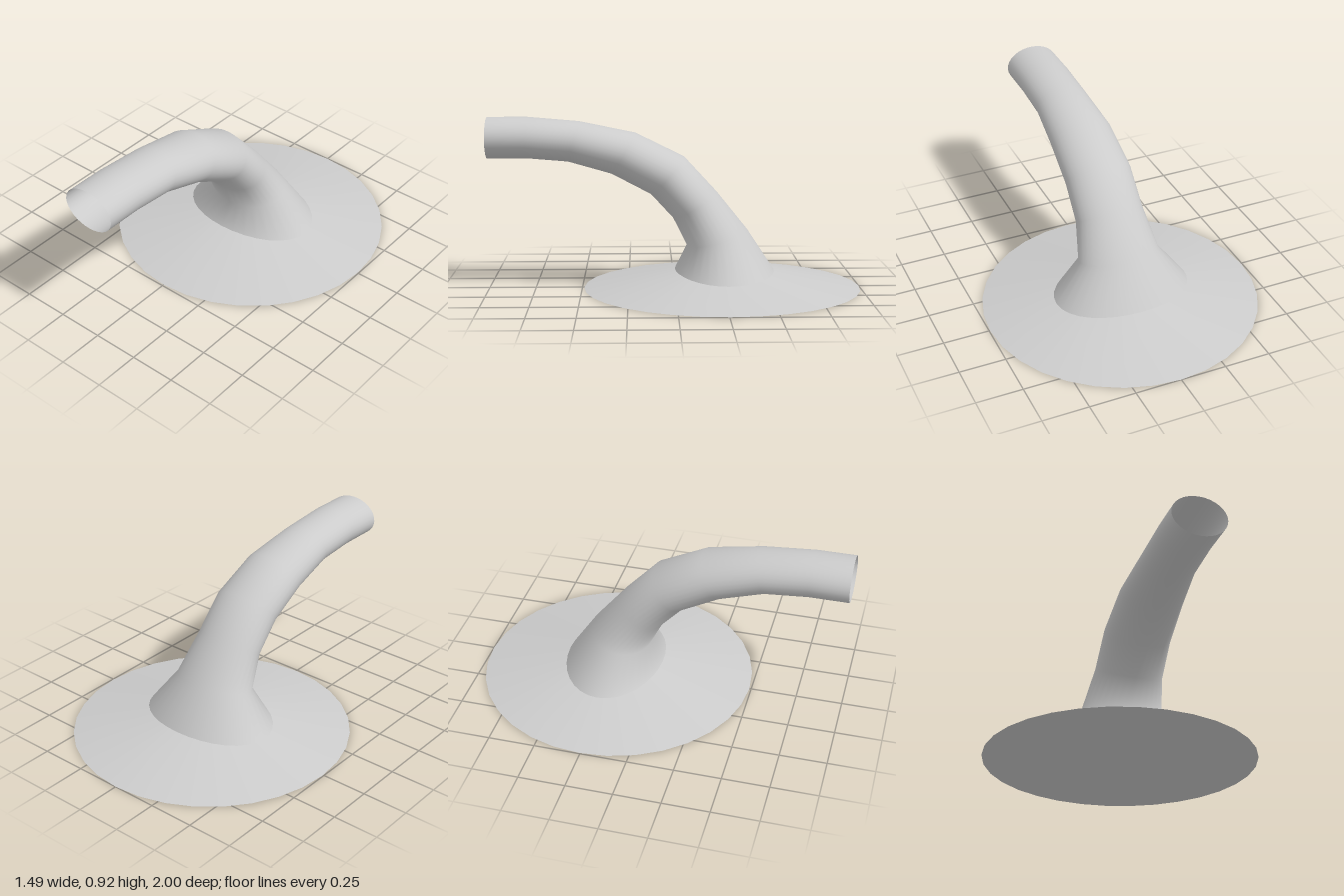
import * as THREE from 'three';

const BASE_Z = -0.255, BASE_R = 0.745, BASE_H = 0.151, SIDES = 32;

// Height of the conical base's surface at a point
const baseHeight = (x, z) => BASE_H * (1 - Math.hypot(x, z - BASE_Z) / BASE_R);

// Pipe cross-sections, from the flared foot to the open mouth:
// outer z, outer y, inner z, inner y, half width
const RINGS = [
  [-0.535, 0.093, 0.0, 0.099, 0.375],
  [-0.39, 0.315, -0.065, 0.23, 0.222],
  [-0.225, 0.52, 0.01, 0.38, 0.187],
  [-0.05, 0.71, 0.13, 0.51, 0.184],
  [0.21, 0.838, 0.34, 0.62, 0.174],
  [0.51, 0.9, 0.57, 0.685, 0.15],
  [0.79, 0.924, 0.79, 0.703, 0.148],
  [1.0, 0.924, 1.0, 0.703, 0.148],
];

function createPipeGeometry() {
  const positions = [], indices = [];
  RINGS.forEach(([oz, oy, iz, iy, w], i) => {
    for (let j = 0; j < SIDES; j++) {
      const a = (j / SIDES) * Math.PI * 2;
      const t = (1 + Math.cos(a)) / 2;
      const x = w * Math.sin(a);
      const z = iz + (oz - iz) * t;
      // The foot follows the slope of the base
      const y = i === 0 ? baseHeight(x, z) : iy + (oy - iy) * t;
      positions.push(x, y, z);
      if (i < RINGS.length - 1) {
        const k = (j + 1) % SIDES;
        const p = i * SIDES + j, q = i * SIDES + k;
        indices.push(p, p + SIDES, q, q, p + SIDES, q + SIDES);
      }
    }
  });
  const geometry = new THREE.BufferGeometry();
  geometry.setAttribute('position', new THREE.Float32BufferAttribute(positions, 3));
  geometry.setIndex(indices);
  geometry.computeVertexNormals();
  return geometry;
}

export function createModel() {
  const group = new THREE.Group();
  group.name = 'bentPipeOnBase';

  // Shallow conical base with a closed underside
  const base = new THREE.Mesh(
    new THREE.ConeGeometry(BASE_R, BASE_H, SIDES),
    new THREE.MeshStandardMaterial({ color: 0xcccccc })
  );
  base.name = 'base';
  base.position.set(0, BASE_H / 2, BASE_Z);
  group.add(base);

  // Hollow bent pipe, open at the mouth
  const pipe = new THREE.Mesh(
    createPipeGeometry(),
    new THREE.MeshStandardMaterial({ color: 0xcccccc, side: THREE.DoubleSide })
  );
  pipe.name = 'pipe';
  group.add(pipe);

  return group;
}
